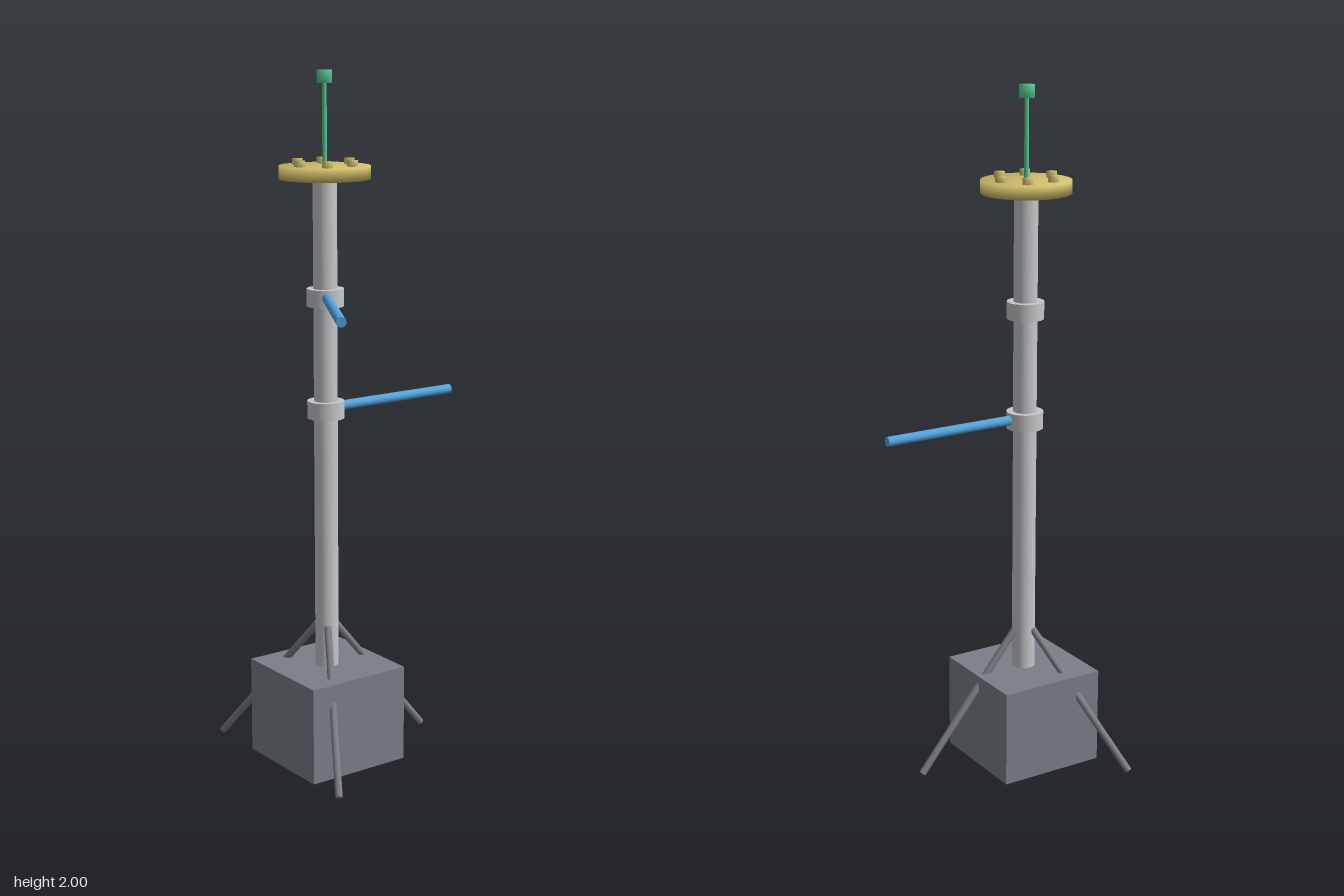
import * as THREE from 'three';
import { mergeVertices } from 'three/addons/utils/BufferGeometryUtils.js';

const material = (name, color) => {
  const m = new THREE.MeshStandardMaterial({ color });
  m.name = name;
  return m;
};

// Cylinder standing between two heights; soft = normals blended over the rim
function upright(radius, y0, y1, sides, soft = false) {
  let g = new THREE.CylinderGeometry(radius, radius, y1 - y0, sides);
  if (soft) {
    g.deleteAttribute('normal');
    g.deleteAttribute('uv');
    g = mergeVertices(g);
    g.computeVertexNormals();
  }
  return g.translate(0, (y0 + y1) / 2, 0);
}

// Rod between two points
function rod(a, b, radius, sides) {
  const dir = b.clone().sub(a);
  const g = new THREE.CylinderGeometry(radius, radius, dir.length(), sides);
  const q = new THREE.Quaternion().setFromUnitVectors(new THREE.Vector3(0, 1, 0), dir.normalize());
  g.applyQuaternion(q);
  const mid = a.clone().add(b).multiplyScalar(0.5);
  return g.translate(mid.x, mid.y, mid.z);
}

// Point at a radius, height and angle around the mast (0 = +x, positive towards +z)
const around = (r, y, angle) => new THREE.Vector3(r * Math.cos(angle), y, r * Math.sin(angle));

export function createModel() {
  const model = new THREE.Group();
  model.name = 'mast';

  const baseGrey = material('base grey', 0x7a7e88);
  const legGrey = material('leg grey', 0x7c7e83);
  const mastGrey = material('mast light grey', 0xc6c7ca);
  const armBlue = material('arm blue', 0x55a3dc);
  const gold = material('dish gold', 0xd0bd6c);
  const green = material('antenna green', 0x58c594);

  const add = (name, geometry, mat) => {
    const mesh = new THREE.Mesh(geometry, mat);
    mesh.name = name;
    model.add(mesh);
  };
  const third = (Math.PI * 2) / 3;

  // Base block and column
  add('base', new THREE.BoxGeometry(0.323, 0.285, 0.323).translate(0, 0.1425, 0), baseGrey);
  add('column', upright(0.034, 0.28, 1.71, 32), mastGrey);

  // Three splayed bracing legs
  for (let i = 0; i < 3; i++) {
    add('leg', rod(around(0.03, 0.405, i * third), around(0.351, 0.016, i * third), 0.0105, 12), legGrey);
  }

  // Collars, each carrying one arm
  for (const [y, angle] of [[1.05, 0], [1.372, third]]) {
    add('collar', upright(0.053, y - 0.025, y + 0.025, 32), mastGrey);
    add('arm', rod(around(0.03, y + 0.004, angle), around(0.451, y + 0.004, angle), 0.0138, 16), armBlue);
  }

  // Top disc with a ring of studs
  add('disc', upright(0.128, 1.703, 1.74, 48, true), gold);
  for (let i = 0; i < 6; i++) {
    const p = around(0.084, 0, (i * Math.PI) / 3);
    add('stud', upright(0.0155, 1.73, 1.757, 10, true).translate(p.x, 0, p.z), gold);
  }

  // Antenna and its tip
  add('antenna', upright(0.0065, 1.72, 1.97, 12), green);
  add('antennaTip', upright(0.022, 1.965, 2, 16, true), green);

  // The mast axis sits off centre so that the whole is centred
  for (const part of model.children) part.position.set(-0.108, 0, -0.041);
  return model;
}
